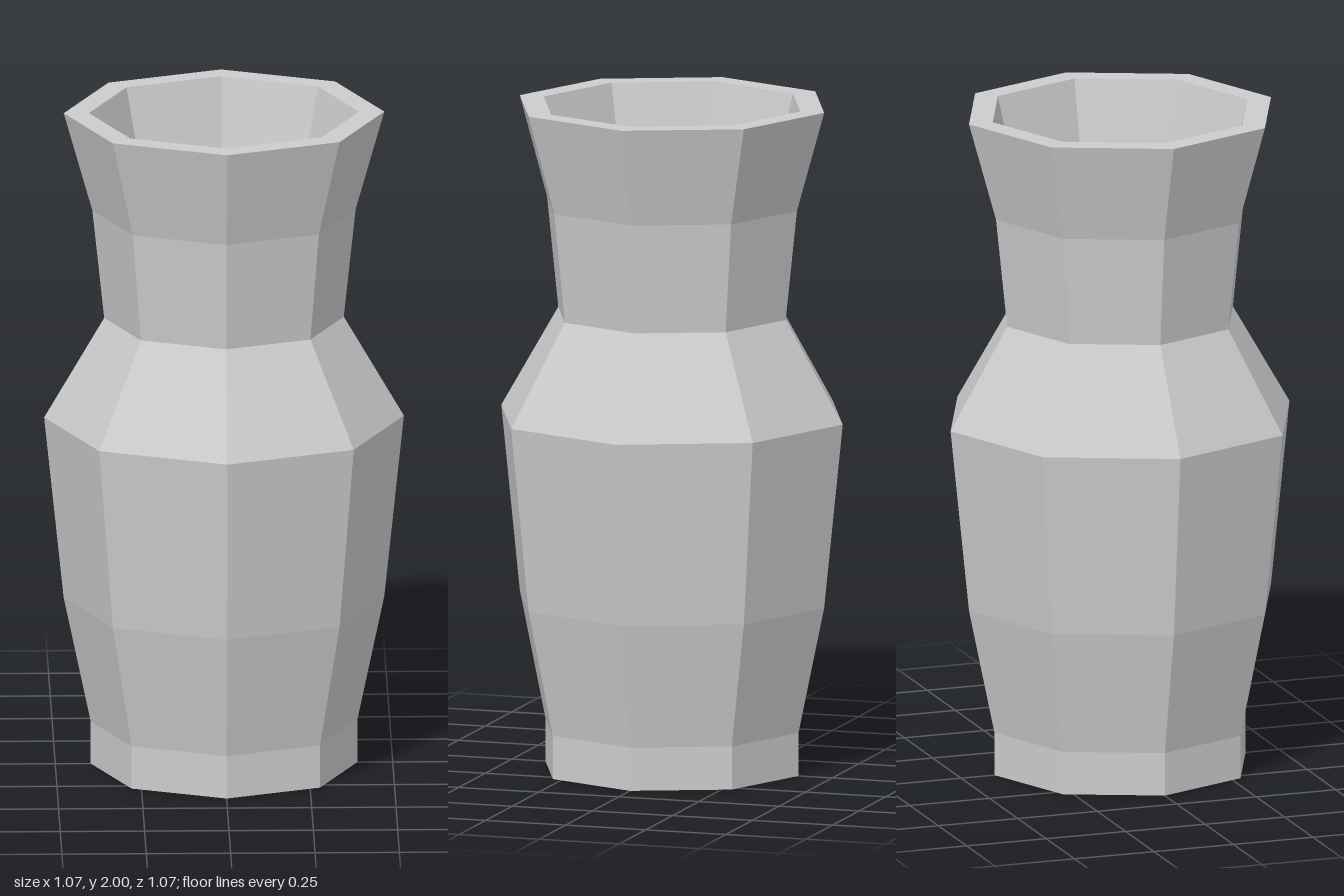
import * as THREE from 'three';

export function createModel() {
  const group = new THREE.Group();
  group.name = 'vase';
  const material = new THREE.MeshStandardMaterial({ color: 0xcccccc, flatShading: true });

  // Outer wall from foot to lip: radius, height
  const outer = [
    [0.395, 0], [0.395, 0.13], [0.475, 0.51], [0.533, 1.065],
    [0.355, 1.37], [0.39, 1.7], [0.475, 2],
  ];
  // Hollow follows the outer wall, from the lip down to the floor above the foot
  const inner = outer.slice(1).reverse().map(([r, y]) => [r * 0.843, y]);

  // One closed profile turned into eight sides: base, wall, rim, hollow, floor
  const profile = [[0, 0], ...outer, ...inner, [0, 0.13]]
    .map(([r, y]) => new THREE.Vector2(r, y));
  const body = new THREE.Mesh(new THREE.LatheGeometry(profile, 8), material);
  body.name = 'vaseBody';
  group.add(body);

  return group;
}
